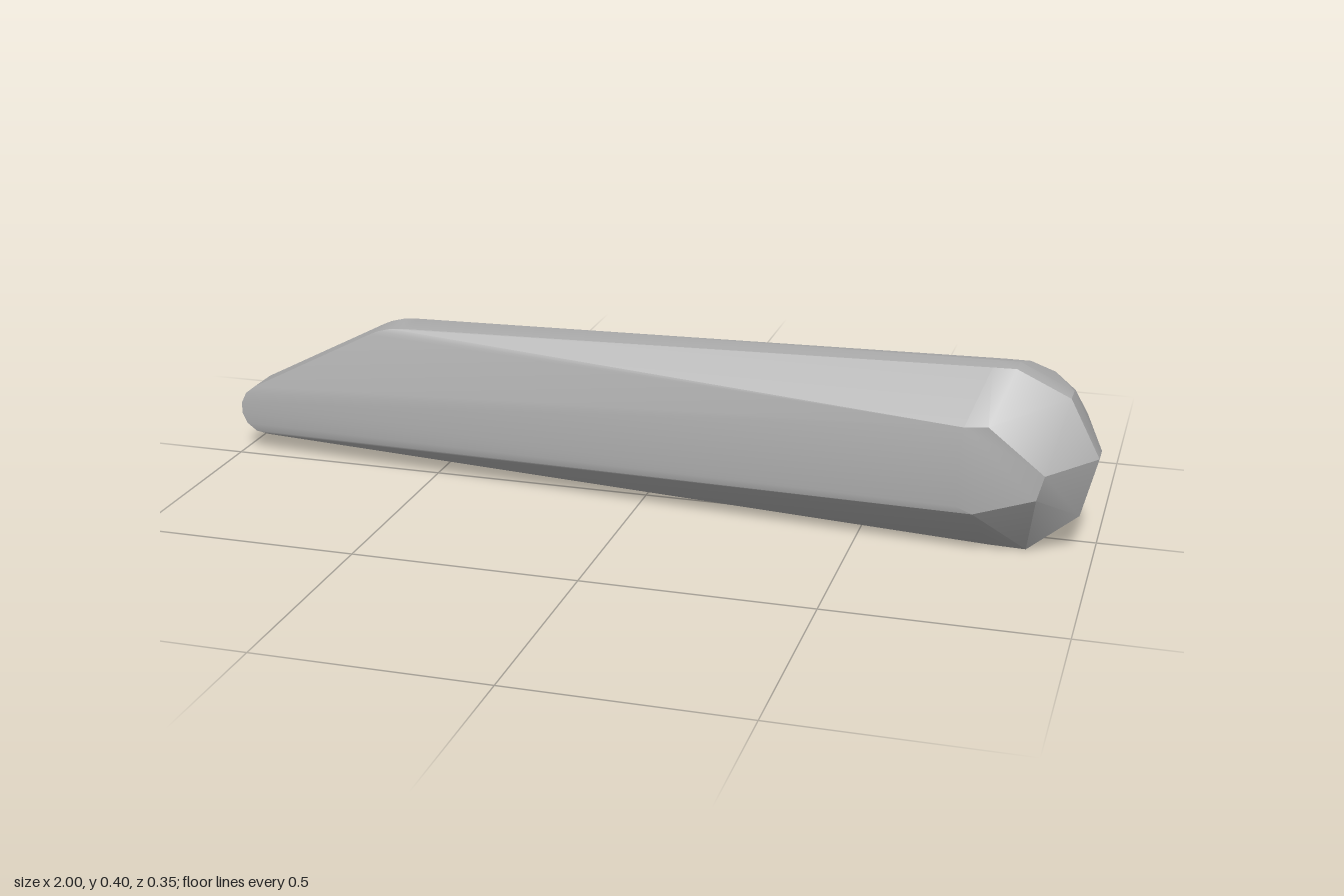
import * as THREE from 'three';
import { ConvexGeometry } from 'three/addons/geometries/ConvexGeometry.js';
import { toCreasedNormals } from 'three/addons/utils/BufferGeometryUtils.js';

export function createModel() {
  const group = new THREE.Group();
  const grey = new THREE.MeshStandardMaterial({ color: 0xb0b0b0 });
  grey.name = 'grey';

  const points = [];
  const layer = (outline, z) => {
    for (const [x, y] of outline) points.push(new THREE.Vector3(x, y, z));
  };
  // Part of a circle around the centre of the thick end, angles in degrees
  const ring = (radius, from, to, steps) => {
    const outline = [];
    for (let i = 0; i <= steps; i++) {
      const a = THREE.MathUtils.degToRad(from + ((to - from) * i) / steps);
      outline.push([0.8 + radius * Math.cos(a), 0.198 + radius * Math.sin(a)]);
    }
    return outline;
  };

  // Thin slanted end: rounded tip and sloping top
  const tip = [
    [-0.935, 0.045], [-0.965, 0.05], [-0.988, 0.067], [-1, 0.092], [-1, 0.117],
    [-0.988, 0.142], [-0.965, 0.16], [-0.665, 0.315], [-0.645, 0.324], [-0.615, 0.332], [-0.58, 0.335],
  ];
  layer(tip, -0.104);
  layer(tip, -0.02);

  // Thick end: faceted rim and small front face
  const rim = [[0.82, 0.398], [0.77, 0.397], [0.935, 0.344], [1, 0.218], [0.967, 0.088], [0.86, 0], [0.78, 0.002]];
  layer(rim, 0.077);
  layer(rim, 0.025);
  layer([[0.73, 0.295], [0.78, 0.3], [0.9, 0.205], [0.885, 0.15], [0.755, 0.106], [0.72, 0.12]], 0.176);

  // Thick end: smooth domed back
  layer(ring(0.165, -100, 100, 10), -0.104);
  layer(ring(0.1, -180, 160, 17), -0.147);
  layer(ring(0.016, -180, 140, 8), -0.176);

  const body = new THREE.Mesh(toCreasedNormals(new ConvexGeometry(points), THREE.MathUtils.degToRad(28)), grey);
  body.name = 'body';
  group.add(body);
  return group;
}
